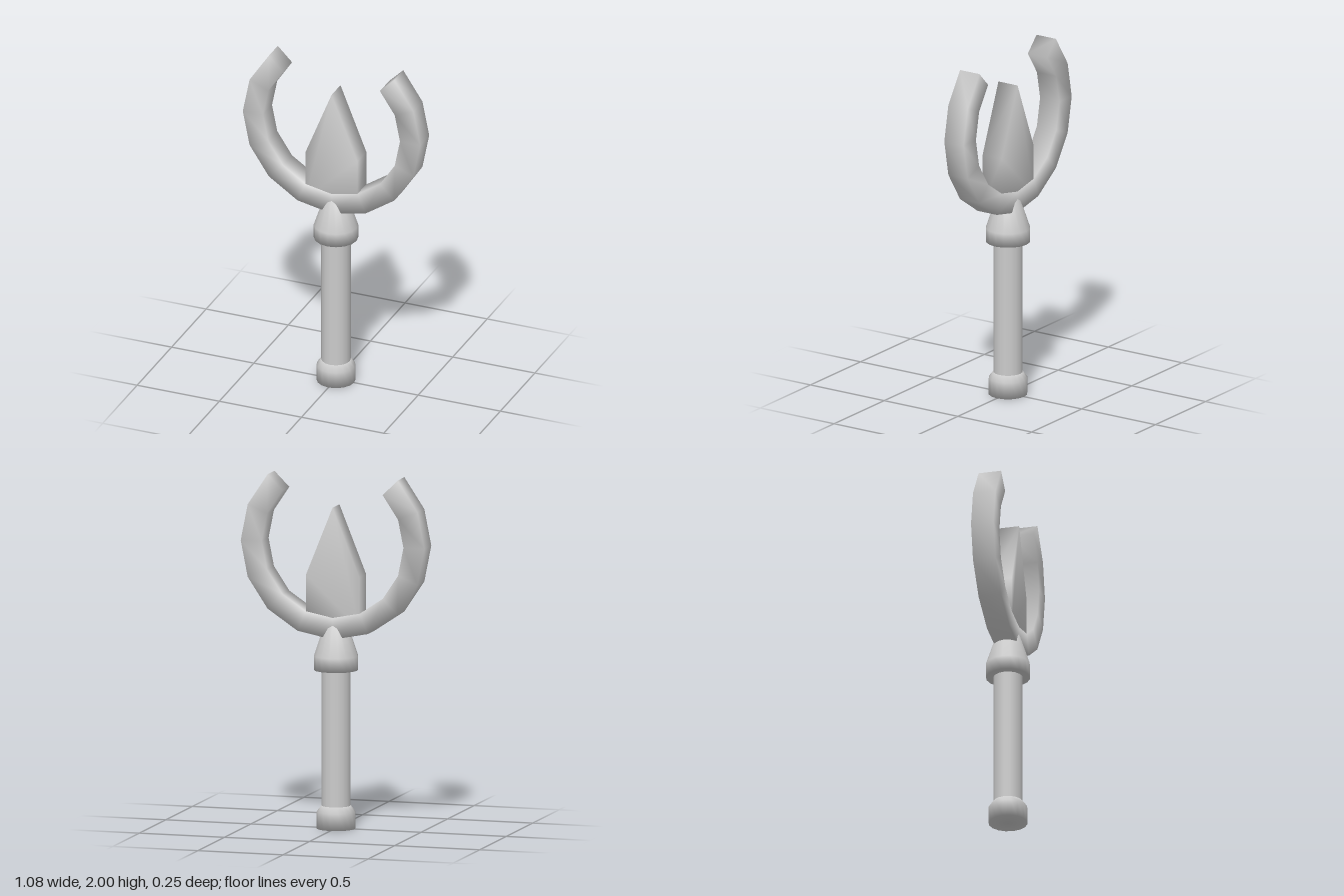
import * as THREE from 'three';
import { mergeVertices } from 'three/addons/utils/BufferGeometryUtils.js';

const material = new THREE.MeshStandardMaterial({ color: 0xcccccc });

// Weld all corners so the shading runs smoothly over the edges
function smooth(geometry) {
  geometry.deleteAttribute('normal');
  geometry.deleteAttribute('uv');
  const welded = mergeVertices(geometry, 1e-4);
  welded.computeVertexNormals();
  return welded;
}

function lathe(points) {
  return new THREE.LatheGeometry(points.map(([r, y]) => new THREE.Vector2(r, y)), 16);
}

// Square bar bent into three quarters of a circle, open at the top
function bentBar(radius, thickness, depth, centreY) {
  const bar = new THREE.BoxGeometry(1, thickness, depth, 12, 1, 1);
  const p = bar.attributes.position;
  for (let i = 0; i < p.count; i++) {
    const angle = -Math.PI / 2 + p.getX(i) * Math.PI * 1.5;
    const r = radius - p.getY(i);
    p.setXY(i, Math.cos(angle) * r, centreY + Math.sin(angle) * r);
  }
  return smooth(bar);
}

// Flat pointed plate with straight lower sides
function pointedPlate(depth) {
  const outline = [[-0.157, 1.15], [0.157, 1.15], [0.157, 1.44], [0, 1.83], [-0.157, 1.44]];
  const shape = new THREE.Shape(outline.map(([x, y]) => new THREE.Vector2(x, y)));
  const plate = new THREE.ExtrudeGeometry(shape, { depth, bevelEnabled: false });
  plate.translate(0, 0, -depth / 2);
  return smooth(plate);
}

export function createModel() {
  const model = new THREE.Group();
  const add = (name, geometry) => {
    const mesh = new THREE.Mesh(geometry, material);
    mesh.name = name;
    model.add(mesh);
  };

  // Handle: flared pommel and straight shaft
  add('pommel', lathe([[0, 0], [0.11, 0], [0.11, 0.095], [0.083, 0.13], [0, 0.13]]));
  add('shaft', lathe([[0.083, 0.1], [0.083, 0.92]]));

  // Tapered socket gripping the head
  add('socket', lathe([[0, 0.9], [0.125, 0.9], [0.125, 0.98], [0.062, 1.17], [0, 1.17]]));

  // Head: open ring with a blade standing inside it
  add('ring', bentBar(0.478, 0.123, 0.131, 1.62));
  add('blade', pointedPlate(0.13));

  return model;
}
